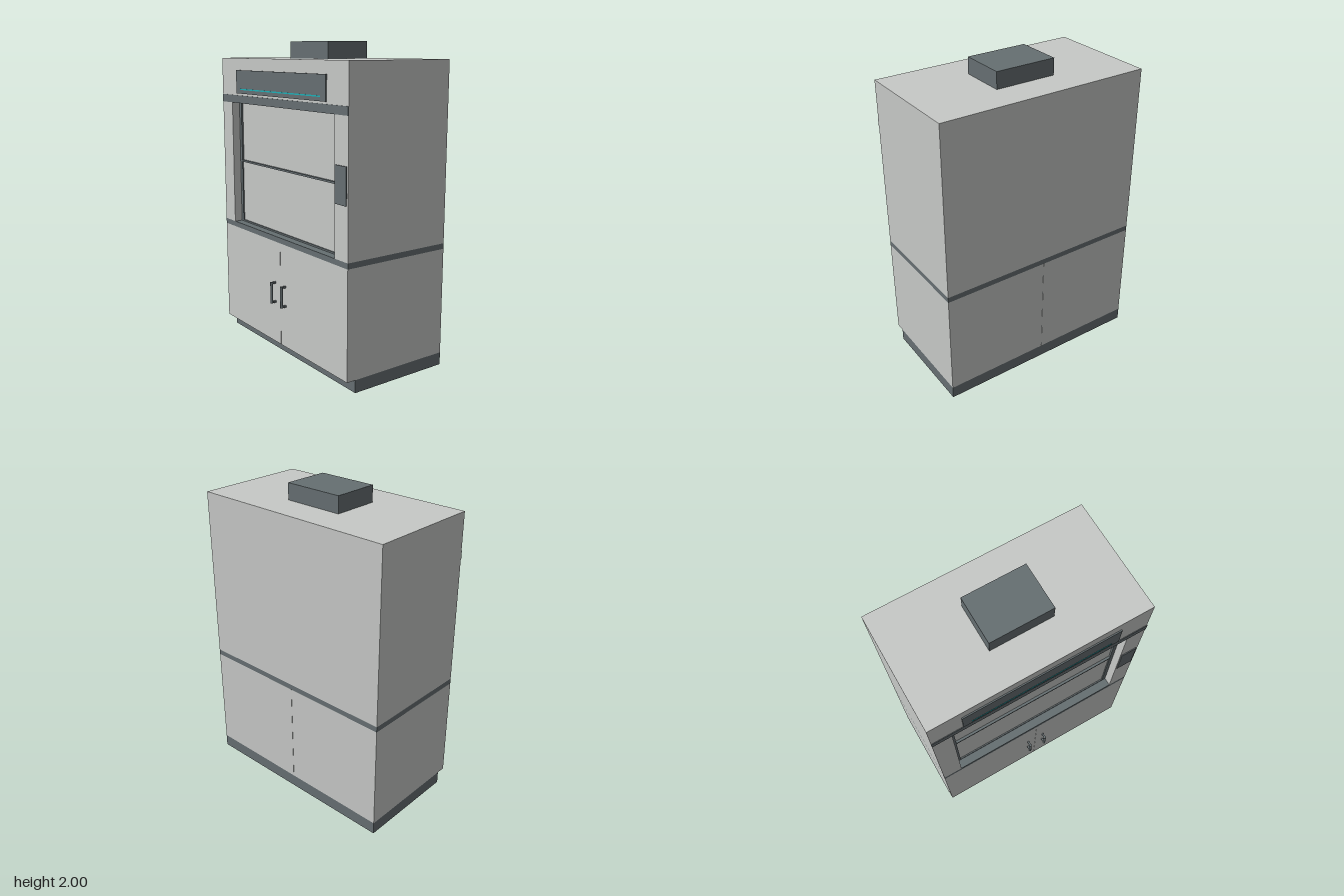
import * as THREE from 'three';

export function createModel() {
  const model = new THREE.Group();
  model.name = 'fumeCupboard';

  const makeMaterial = (name, color) => {
    const m = new THREE.MeshStandardMaterial({ color });
    m.name = name;
    return m;
  };
  const pale = makeMaterial('paleGrey', 0xc7c9c7);
  const dark = makeMaterial('slateGrey', 0x666f72);
  const cyan = makeMaterial('cyan', 0x1fb0b8);

  // Box given by its minimum and maximum on each axis
  const box = (name, material, [x0, x1], [y0, y1], [z0, z1], parent = model) => {
    const mesh = new THREE.Mesh(new THREE.BoxGeometry(x1 - x0, y1 - y0, z1 - z0), material);
    mesh.position.set((x0 + x1) / 2, (y0 + y1) / 2, (z0 + z1) / 2);
    mesh.name = name;
    parent.add(mesh);
    return mesh;
  };

  const W = 0.695, BACK = -0.39, FRONT = 0.35;
  const OPEN = 0.57;   // half width of the work opening
  const PANE = 0.285;  // front plane of the sash panes
  const full = [-W, W], depth = [BACK, FRONT];

  // Plinth, worktop, header and exhaust duct
  box('plinth', dark, full, [0, 0.08], [BACK, 0.29]);
  box('worktop', dark, full, [0.755, 0.79], depth);
  box('header', pale, full, [1.605, 1.895], depth);
  box('exhaustDuct', dark, [-0.2, 0.2], [1.895, 2], [-0.175, 0.125]);

  // Chamber closed by an upper and a lower sash
  box('lowerSash', pale, [-OPEN, OPEN], [0.79, 1.21], [BACK, PANE + 0.004]);
  box('upperSash', pale, [-OPEN, OPEN], [1.21, 1.605], [BACK, PANE]);
  box('sashBar', dark, [-0.545, 0.545], [1.204, 1.216], [PANE, PANE + 0.015]);
  box('sashSill', dark, [-0.545, 0.545], [0.79, 0.8], [PANE, PANE + 0.012]);

  for (const [side, s] of [['left', 1], ['right', -1]]) {
    const span = (a, b) => (s > 0 ? [a, b] : [-b, -a]);

    // Cabinet halves, side pillars and sash rails
    box(side + 'Cabinet', pale, span(0.001, W), [0.08, 0.755], depth);
    box(side + 'Pillar', pale, span(OPEN, W), [0.79, 1.605], depth);
    box(side + 'SashRail', dark, span(0.545, OPEN), [0.79, 1.605], [PANE, PANE + 0.012]);

    // Door handle: upright rod on two standoffs
    const handle = new THREE.Group();
    handle.name = side + 'Handle';
    const rod = new THREE.Mesh(new THREE.CylinderGeometry(0.009, 0.009, 0.14, 16), dark);
    rod.name = 'handleRod';
    rod.position.set(s * 0.058, 0.42, 0.381);
    handle.add(rod);
    for (const y of [0.356, 0.484]) {
      box('handleStandoff', dark, span(0.052, 0.064), [y - 0.006, y + 0.006], [FRONT, 0.381], handle);
    }
    model.add(handle);
  }

  // Door gap between the cabinet halves
  box('doorGap', dark, [-0.001, 0.001], [0.08, 0.755], [BACK + 0.002, FRONT - 0.002]);

  // Trim band, display with light strip, and control box
  box('trimBand', dark, full, [1.605, 1.655], [FRONT, FRONT + 0.004]);
  box('displayPanel', dark, [-0.497, 0.497], [1.668, 1.818], [FRONT, FRONT + 0.008]);
  box('lightStrip', cyan, [-0.445, 0.445], [1.692, 1.7], [FRONT + 0.008, FRONT + 0.01]);
  box('controlBox', dark, [0.577, 0.682], [1.11, 1.33], [FRONT, FRONT + 0.006]);

  return model;
}
